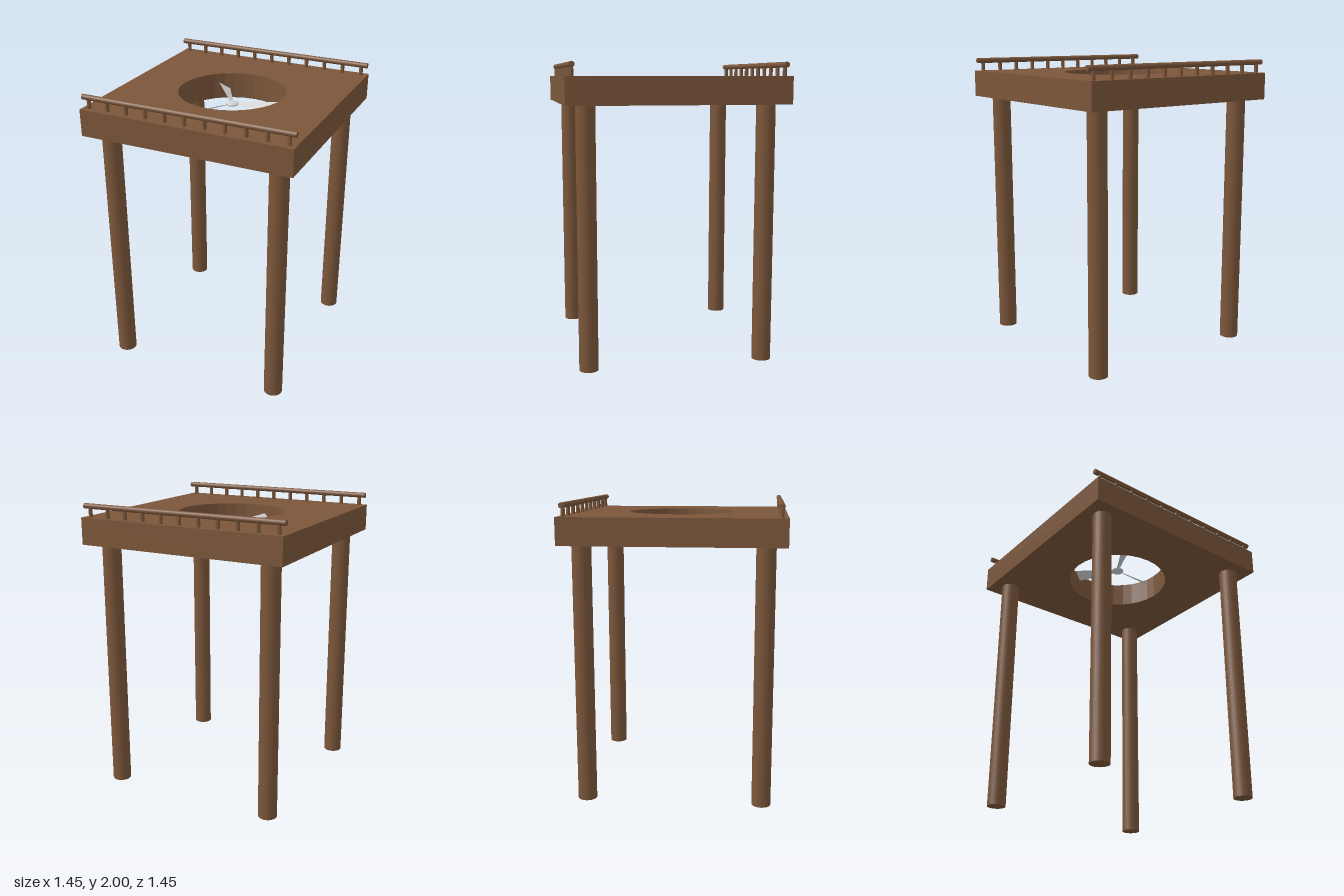
import * as THREE from 'three';

export function createModel() {
  const wood = new THREE.MeshStandardMaterial({ color: 0x7b563a });
  wood.name = 'brown wood';
  const metal = new THREE.MeshStandardMaterial({ color: 0xd0d0d0, side: THREE.DoubleSide });
  metal.name = 'light grey metal';

  const model = new THREE.Group();
  model.name = 'fanPlatform';
  const add = (parent, name, geometry, material, x = 0, y = 0, z = 0) => {
    const mesh = new THREE.Mesh(geometry, material);
    mesh.name = name;
    mesh.position.set(x, y, z);
    parent.add(mesh);
    return mesh;
  };

  const half = 0.727, bottom = 1.73, top = 1.91;

  // Square deck with a round opening
  const outline = new THREE.Shape([
    new THREE.Vector2(-half, -half), new THREE.Vector2(half, -half),
    new THREE.Vector2(half, half), new THREE.Vector2(-half, half),
  ]);
  outline.holes.push(new THREE.Path().absarc(0, 0, 0.364, 0, Math.PI * 2, true));
  const deck = new THREE.ExtrudeGeometry(outline, {
    depth: top - bottom, bevelEnabled: false, curveSegments: 16,
  });
  deck.rotateX(-Math.PI / 2);
  add(model, 'deck', deck, wood, 0, bottom, 0);

  // Four round legs
  const leg = new THREE.CylinderGeometry(0.0636, 0.0636, bottom, 32);
  for (const x of [-0.591, 0.591])
    for (const z of [-0.591, 0.591]) add(model, 'leg', leg, wood, x, bottom / 2, z);

  // Railings along the front and back edges
  const rail = new THREE.CylinderGeometry(0.018, 0.018, half * 2, 20).rotateZ(Math.PI / 2);
  const post = new THREE.CylinderGeometry(0.0132, 0.0132, 0.07, 16);
  for (const [name, z] of [['frontRailing', 0.682], ['backRailing', -0.682]]) {
    const railing = new THREE.Group();
    railing.name = name;
    add(railing, 'handrail', rail, wood, 0, 1.982, z);
    for (let i = -5; i <= 5; i++) add(railing, 'railPost', post, wood, i * 0.1364, top + 0.035, z);
    model.add(railing);
  }

  // Fan in the opening: flattened hub and three pitched, tapered blades
  const fan = new THREE.Group();
  fan.name = 'fan';
  fan.position.y = 1.82;
  add(fan, 'hub', new THREE.SphereGeometry(0.0455, 32, 16), metal).scale.y = 0.33;
  const bladeShape = new THREE.Shape([
    new THREE.Vector2(0.035, -0.014), new THREE.Vector2(0.323, -0.014),
    new THREE.Vector2(0.323, 0.077), new THREE.Vector2(0.035, 0.017),
  ]);
  const blade = new THREE.ShapeGeometry(bladeShape);
  blade.rotateX(-Math.PI / 2 + Math.PI / 6);
  for (let i = 0; i < 3; i++) add(fan, 'blade', blade, metal).rotation.y = (i * Math.PI * 2) / 3;
  model.add(fan);

  return model;
}
